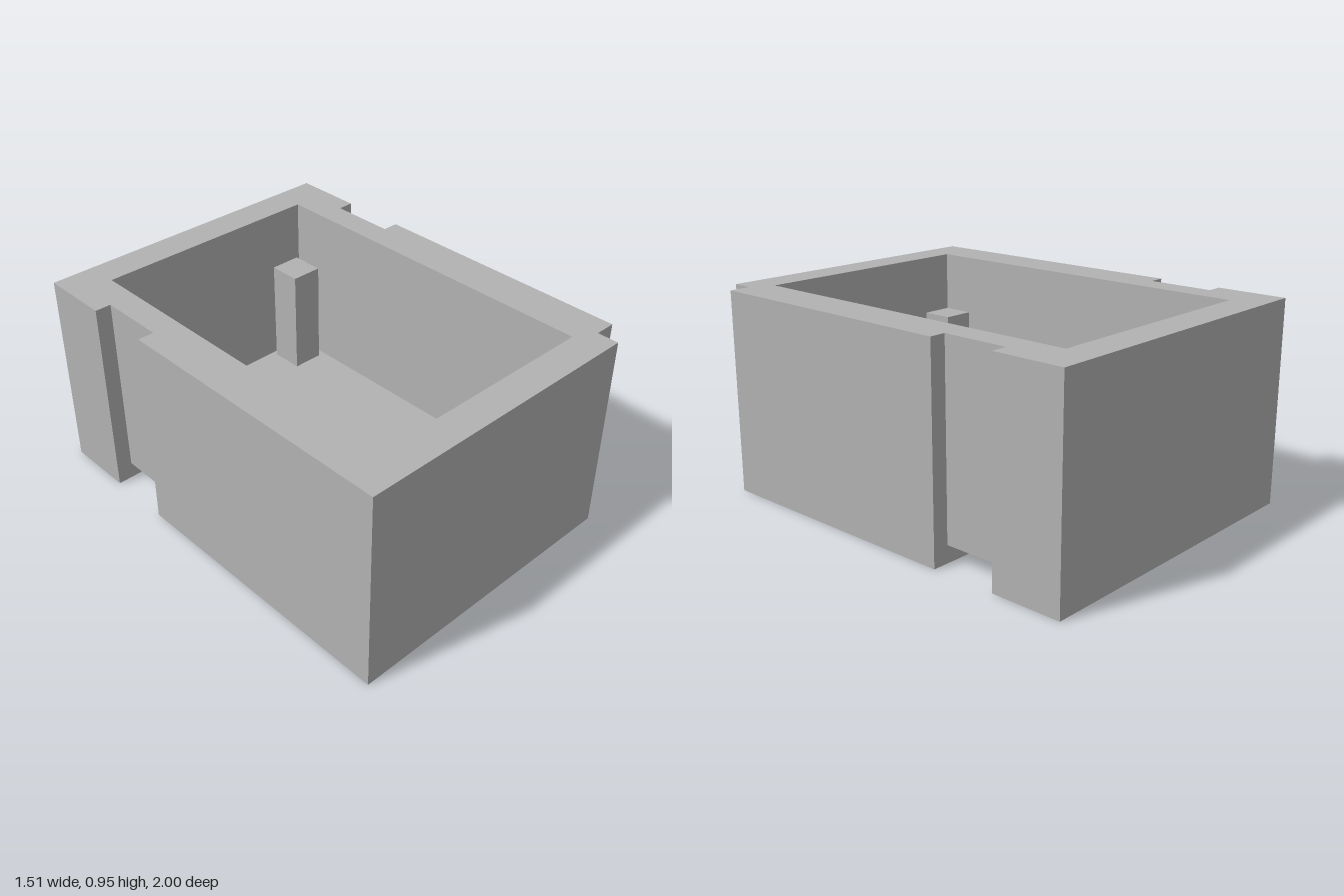
import * as THREE from 'three';

const H = 0.95, CHANNEL = 0.08, FLOOR = 0.155;   // rim, channel roof, inner floor
const POST_TOP = 0.675, POST_CUT = 0.26;

export function createModel() {
  const group = new THREE.Group();
  const grey = new THREE.MeshStandardMaterial({ color: 0xb2b2b2 });

  const add = (name, geometry) => {
    const mesh = new THREE.Mesh(geometry, grey);
    mesh.name = name;
    group.add(mesh);
  };

  // Box given by its limits on each axis
  const block = (name, x0, x1, y0, y1, z0, z1) => {
    const g = new THREE.BoxGeometry(x1 - x0, y1 - y0, z1 - z0);
    g.translate((x0 + x1) / 2, (y0 + y1) / 2, (z0 + z1) / 2);
    add(name, g);
  };

  // Upright prism from an [x, z] outline with an optional rectangular hole
  const toPoints = (list) => list.map(([x, z]) => new THREE.Vector2(x, -z));
  const prism = (name, outline, hole, y0, y1) => {
    const shape = new THREE.Shape(toPoints(outline));
    if (hole) {
      const [x, z0, z1] = hole;
      shape.holes.push(new THREE.Path(toPoints([[-x, z0], [x, z0], [x, z1], [-x, z1]])));
    }
    const g = new THREE.ExtrudeGeometry(shape, { depth: y1 - y0, bevelEnabled: false });
    g.rotateX(-Math.PI / 2);
    g.translate(0, y0, 0);
    add(name, g);
  };

  // Front end with one notched corner
  const frontEnd = [[-0.755, 1], [0.655, 1], [0.655, 0.9], [0.755, 0.9]];

  // Walls with a groove on each side
  prism('walls', [
    ...frontEnd,
    [0.755, -0.36], [0.68, -0.36], [0.68, -0.67], [0.755, -0.67], [0.755, -1],
    [-0.755, -1], [-0.755, -0.67], [-0.68, -0.67], [-0.68, -0.36], [-0.755, -0.36],
  ], [0.555, -0.845, 0.845], CHANNEL, H);

  // Base, split by the channel that crosses underneath
  prism('frontBase', [...frontEnd, [0.755, -0.36], [-0.755, -0.36]], [0.555, 0.46, 0.795], 0, CHANNEL);
  block('backBase', -0.755, 0.755, 0, CHANNEL, -1, -0.67);

  // Inner floor on both sides of the opening
  block('floor', -0.555, 0.555, CHANNEL, FLOOR, -0.845, 0.46);
  block('floorFrontStrip', -0.555, 0.555, CHANNEL, FLOOR, 0.795, 0.845);

  // Support posts; the front pair is cut away above the opening
  for (const side of [-1, 1]) {
    const x0 = side * 0.4425 - 0.0775, x1 = x0 + 0.155;
    block('backPost', x0, x1, FLOOR, POST_TOP, -0.82, -0.66);
    block('frontPost', x0, x1, POST_CUT, POST_TOP, 0.655, 0.81);
    block('frontPostFoot', x0, x1, FLOOR, POST_CUT, 0.795, 0.81);
  }

  return group;
}
